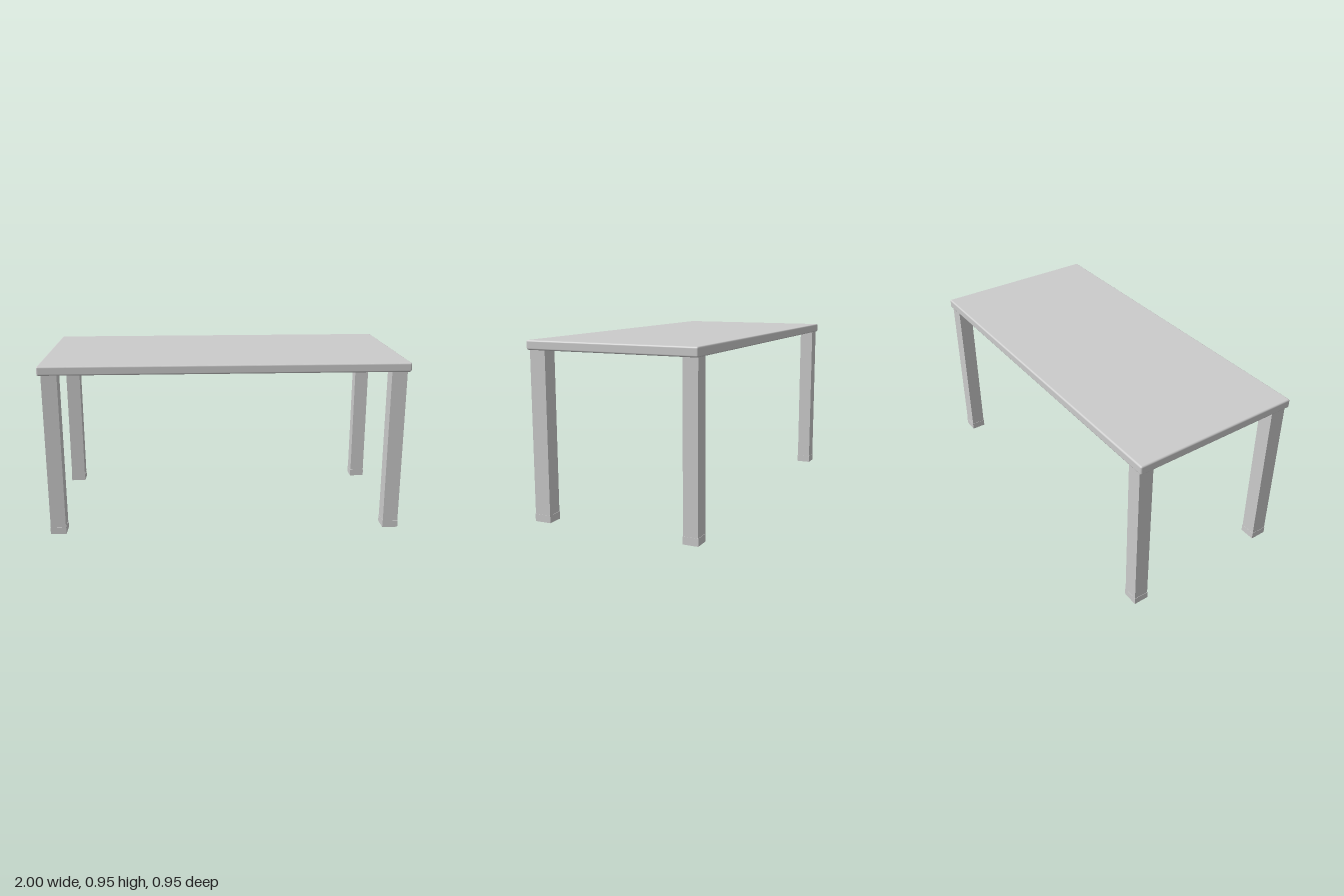
import * as THREE from 'three';
import { RoundedBoxGeometry } from 'three/addons/geometries/RoundedBoxGeometry.js';

const TOP_Y = 0.955, TOP_THICK = 0.05, FOOT_H = 0.04;

export function createModel() {
  const group = new THREE.Group();
  group.name = 'table';
  const material = new THREE.MeshStandardMaterial({ color: 0xcccccc });

  const add = (parent, name, geometry, x, y, z) => {
    const mesh = new THREE.Mesh(geometry, material);
    mesh.name = name;
    mesh.position.set(x, y, z);
    parent.add(mesh);
  };

  // Slab with softly rounded edges
  add(group, 'tableTop', new RoundedBoxGeometry(2, TOP_THICK, 0.955, 3, 0.009),
    0, TOP_Y - TOP_THICK / 2, 0);

  // Square legs, the front pair slightly deeper, each ending in a short foot cap
  const legTop = TOP_Y - TOP_THICK + 0.004;
  for (const sx of [-1, 1]) {
    for (const sz of [-1, 1]) {
      const leg = new THREE.Group();
      leg.name = (sz > 0 ? 'front' : 'back') + (sx > 0 ? 'Left' : 'Right') + 'Leg';
      const w = 0.084, d = sz > 0 ? 0.09 : 0.08;
      leg.position.set(sx * 0.938, 0, sz * (0.469 - d / 2));
      add(leg, 'post', new THREE.BoxGeometry(w, legTop - FOOT_H, d), 0, (legTop + FOOT_H) / 2, 0);
      add(leg, 'foot', new THREE.BoxGeometry(w + 0.003, FOOT_H, d + 0.003), 0, FOOT_H / 2, 0);
      group.add(leg);
    }
  }
  return group;
}
